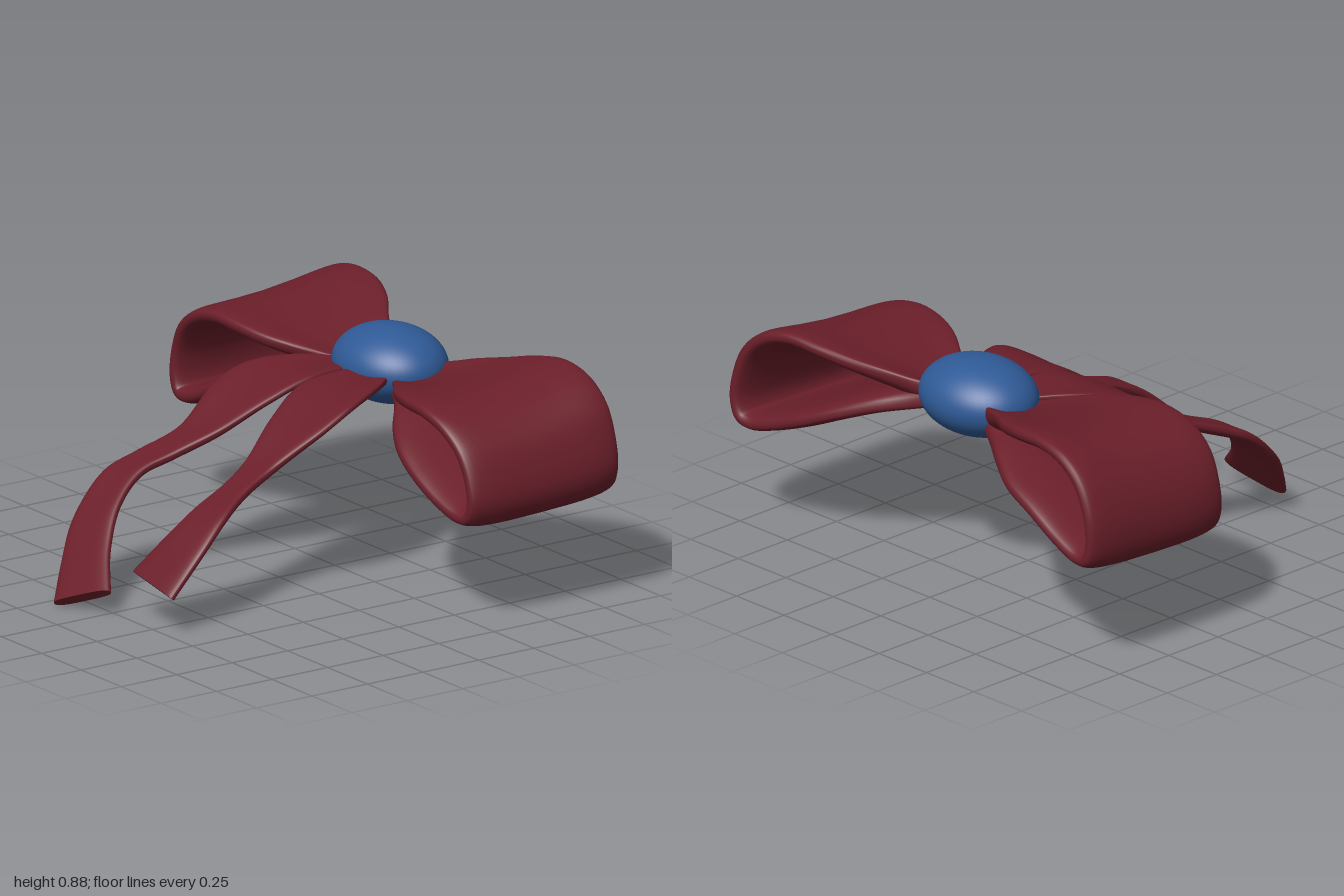
import * as THREE from 'three';

const red = new THREE.MeshStandardMaterial({ color: 0x6b1f2a, roughness: 0.7, side: THREE.DoubleSide });
const blue = new THREE.MeshStandardMaterial({ color: 0x2f5a96, roughness: 0.6 });

const curve = (pts) => new THREE.CatmullRomCurve3(pts.map((p) => new THREE.Vector3(...p)), false, 'centripetal');

// Thick ribbon swept between two edge curves, with a rounded flat cross-section;
// sag(u) lowers the middle of the ribbon against its edges
function ribbon(name, edgeA, edgeB, half, power, sag, steps = 90, sides = 40) {
  const a = curve(edgeA), b = curve(edgeB);
  const mid = (u) => a.getPoint(u).add(b.getPoint(u)).multiplyScalar(0.5);
  const pos = [], idx = [];
  for (let i = 0; i <= steps; i++) {
    const u = i / steps, c = mid(u);
    const across = b.getPoint(u).sub(a.getPoint(u)).multiplyScalar(0.5);
    const along = mid(Math.min(1, u + 0.005)).sub(mid(Math.max(0, u - 0.005)));
    const normal = along.cross(across).normalize();
    for (let j = 0; j < sides; j++) {
      const t = (j / sides) * Math.PI * 2, cs = Math.cos(t), sn = Math.sin(t);
      const w = Math.sign(cs) * Math.abs(cs) ** power;
      const h = Math.sign(sn) * Math.abs(sn) ** 0.7 * half;
      const p = c.clone().addScaledVector(across, w).addScaledVector(normal, h);
      pos.push(p.x, p.y - sag(u) * (1 - w * w), p.z);
      if (i < steps) {
        const k = i * sides + j, n = i * sides + ((j + 1) % sides);
        idx.push(k, n, k + sides, n, n + sides, k + sides);
      }
    }
  }
  // end caps with their own vertices, so the cut edge stays sharp
  for (const row of [0, steps]) {
    const base = pos.length / 3, c = mid(row / steps);
    for (let j = 0; j < sides; j++) pos.push(...pos.slice((row * sides + j) * 3, (row * sides + j) * 3 + 3));
    pos.push(c.x, c.y - sag(row / steps), c.z);
    for (let j = 0; j < sides; j++) {
      const n = base + ((j + 1) % sides);
      if (row) idx.push(base + sides, base + j, n);
      else idx.push(base + sides, n, base + j);
    }
  }
  const g = new THREE.BufferGeometry();
  g.setAttribute('position', new THREE.Float32BufferAttribute(pos, 3));
  g.setIndex(idx);
  // make the winding face outwards whichever way the edges run
  let volume = 0;
  const [p, q, r] = [0, 0, 0].map(() => new THREE.Vector3());
  const at = g.attributes.position;
  for (let i = 0; i < idx.length; i += 3) {
    p.fromBufferAttribute(at, idx[i]);
    q.fromBufferAttribute(at, idx[i + 1]);
    r.fromBufferAttribute(at, idx[i + 2]);
    volume += p.dot(q.cross(r));
  }
  if (volume < 0) g.setIndex(idx.reverse());
  g.computeVertexNormals();
  const mesh = new THREE.Mesh(g, red);
  mesh.name = name;
  return mesh;
}

// Loop rows: x, front y, back y, front z, back z; the top dips and the underside rises
function loop(name, rows) {
  const pinch = (u) => 0.015 + 0.035 * Math.cos(Math.PI * u);
  return ribbon(name, rows.map(([x, y, , z]) => [x, y, z]), rows.map(([x, , y, , z]) => [x, y, z]), 0.042, 0.5, pinch, 120);
}

// Height of the tails as they fall towards the front
const fall = curve([[-0.5, 0.7, 0], [-0.3, 0.72, 0], [-0.15, 0.71, 0], [0, 0.645, 0], [0.1, 0.575, 0], [0.2, 0.505, 0],
  [0.3, 0.46, 0], [0.4, 0.425, 0], [0.5, 0.375, 0], [0.6, 0.295, 0], [0.7, 0.185, 0], [0.8, 0.065, 0], [0.87, -0.01, 0]]).getPoints(300);
function fallHeight(z) {
  const i = Math.max(1, fall.findIndex((p) => p.x >= z));
  const p = fall[i - 1], q = fall[i];
  return p.y + ((z - p.x) / (q.x - p.x)) * (q.y - p.y);
}

// Tail edges as x, z pairs
function tail(name, inner, outer) {
  const lift = ([x, z]) => [x, fallHeight(z), z];
  return ribbon(name, inner.map(lift), outer.map(lift), 0.022, 0.6, (u) => 0.02 * (1 - u));
}

export function createModel() {
  const bow = new THREE.Group();
  bow.name = 'ribbonBow';

  // Knot
  const knot = new THREE.Mesh(new THREE.SphereGeometry(1, 48, 32), blue);
  knot.name = 'knot';
  knot.scale.set(0.243, 0.145, 0.2);
  knot.position.set(0, 0.72, -0.5);
  bow.add(knot);

  // Side loops, from the knot over the top, round the outside and back underneath
  bow.add(loop('leftLoop', [
    [0.08, 0.7, 0.73, -0.42, -0.58], [0.2, 0.7, 0.735, -0.37, -0.63], [0.3, 0.72, 0.76, -0.3, -0.69],
    [0.42, 0.745, 0.785, -0.22, -0.75], [0.55, 0.76, 0.815, -0.17, -0.8], [0.68, 0.76, 0.828, -0.152, -0.82],
    [0.8, 0.725, 0.795, -0.152, -0.83], [0.89, 0.655, 0.72, -0.16, -0.835], [0.94, 0.56, 0.61, -0.165, -0.835],
    [0.955, 0.47, 0.51, -0.165, -0.835], [0.93, 0.415, 0.445, -0.165, -0.835], [0.88, 0.405, 0.43, -0.16, -0.83],
    [0.78, 0.43, 0.455, -0.155, -0.825], [0.62, 0.495, 0.515, -0.16, -0.815], [0.48, 0.555, 0.575, -0.19, -0.78],
    [0.35, 0.605, 0.625, -0.26, -0.72], [0.22, 0.65, 0.66, -0.36, -0.64], [0.08, 0.69, 0.7, -0.42, -0.58]]));
  bow.add(loop('rightLoop', [
    [-0.08, 0.7, 0.73, -0.42, -0.58], [-0.2, 0.7, 0.745, -0.37, -0.65], [-0.3, 0.725, 0.775, -0.29, -0.71],
    [-0.42, 0.75, 0.805, -0.22, -0.79], [-0.55, 0.77, 0.83, -0.19, -0.84], [-0.68, 0.775, 0.837, -0.185, -0.855],
    [-0.8, 0.745, 0.81, -0.185, -0.865], [-0.89, 0.68, 0.74, -0.19, -0.87], [-0.945, 0.58, 0.63, -0.2, -0.875],
    [-0.957, 0.48, 0.51, -0.2, -0.875], [-0.935, 0.42, 0.45, -0.2, -0.875], [-0.88, 0.415, 0.44, -0.195, -0.87],
    [-0.78, 0.45, 0.475, -0.19, -0.865], [-0.62, 0.53, 0.55, -0.19, -0.85], [-0.48, 0.575, 0.595, -0.2, -0.82],
    [-0.35, 0.615, 0.635, -0.26, -0.75], [-0.22, 0.65, 0.66, -0.36, -0.66], [-0.08, 0.69, 0.7, -0.42, -0.58]]));

  // Hanging tails
  bow.add(tail('leftTail',
    [[0.0, -0.42], [-0.005, -0.28], [-0.015, -0.1], [0.03, 0.06], [0.1, 0.22], [0.155, 0.36], [0.165, 0.5], [0.14, 0.62], [0.09, 0.72]],
    [[0.1, -0.44], [0.23, -0.29], [0.32, -0.1], [0.32, 0.03], [0.26, 0.2], [0.29, 0.36], [0.35, 0.5], [0.378, 0.61], [0.37, 0.745]]));
  bow.add(tail('rightTail',
    [[-0.02, -0.42], [-0.02, -0.28], [-0.02, -0.14], [-0.06, 0.01], [-0.14, 0.15], [-0.21, 0.3], [-0.24, 0.44], [-0.2, 0.57], [-0.1, 0.69], [0.033, 0.785]],
    [[-0.11, -0.44], [-0.26, -0.27], [-0.36, -0.1], [-0.38, 0.02], [-0.35, 0.2], [-0.38, 0.38], [-0.405, 0.5], [-0.37, 0.66], [-0.29, 0.77], [-0.2, 0.868]]));

  return bow;
}
